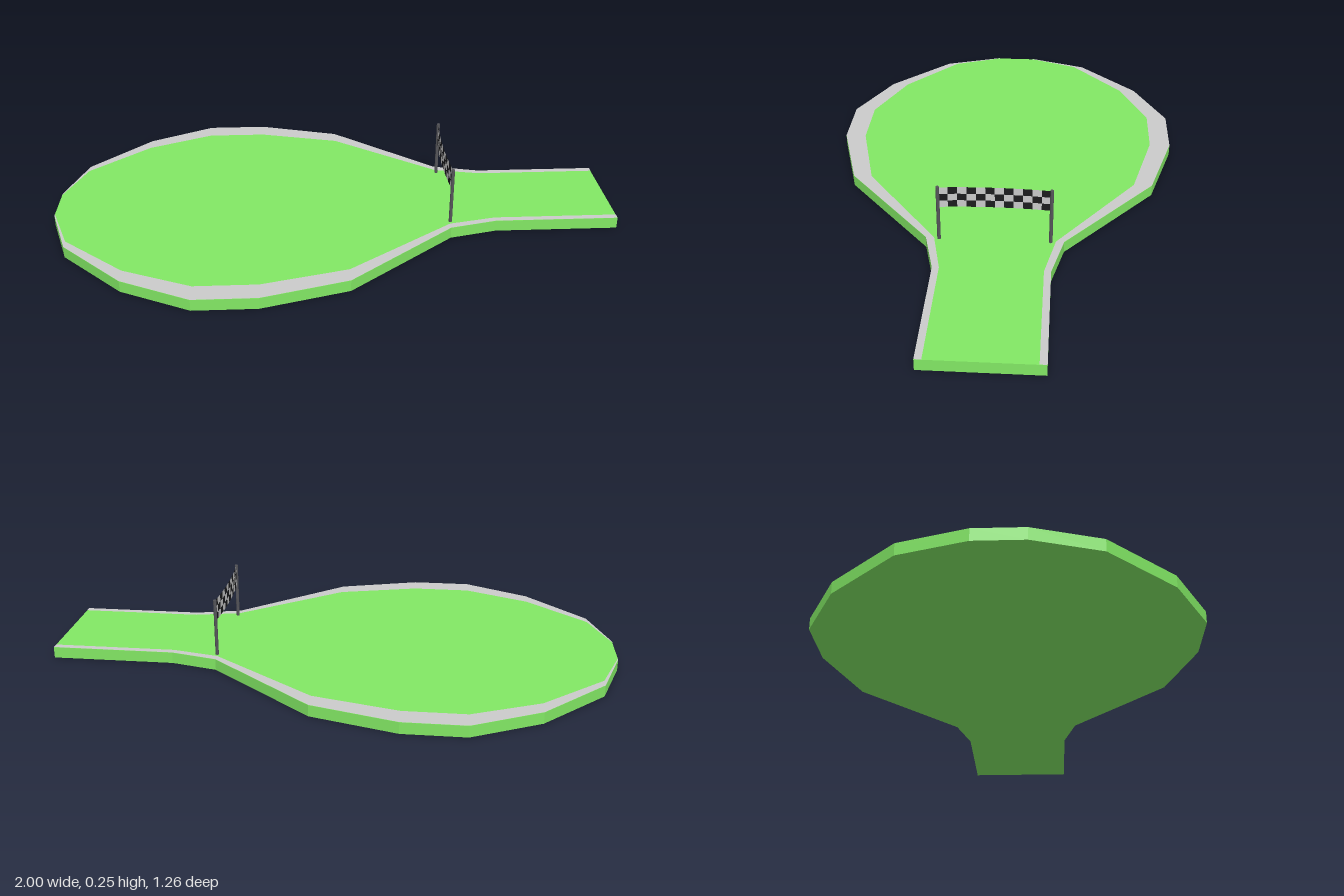
import * as THREE from 'three';
import { mergeGeometries } from 'three/addons/utils/BufferGeometryUtils.js';

const TOP = 0.04;

// Half outline of the ground, [x, half width], from the round end to the straight end
const OUTLINE = [
  [-1, 0.08], [-0.93, 0.295], [-0.715, 0.513], [-0.48, 0.63], [-0.265, 0.63],
  [0.03, 0.545], [0.4, 0.232], [0.565, 0.192], [1, 0.192],
];

const material = (color, side = THREE.FrontSide) =>
  new THREE.MeshStandardMaterial({ color, side, flatShading: true });

function addMesh(parent, name, geometry, mat) {
  const mesh = new THREE.Mesh(geometry, mat);
  mesh.name = name;
  parent.add(mesh);
  return mesh;
}

// Outline points of one side, optionally narrowed
const sidePoints = (sign, scale = 1) =>
  OUTLINE.map(([x, z]) => new THREE.Vector2(x, sign * z * scale));

export function createModel() {
  const model = new THREE.Group();
  model.name = 'finishArea';

  const green = material(0x82e864);
  const grey = material(0xcccccc);
  const dark = material(0x55555a);

  // Grass slab
  const slabShape = new THREE.Shape([...sidePoints(-1), ...sidePoints(1).reverse()]);
  const slab = new THREE.ExtrudeGeometry(slabShape, { depth: TOP, bevelEnabled: false });
  slab.rotateX(-Math.PI / 2);
  addMesh(model, 'grassSlab', slab, green);

  // Grey border along both long sides, narrowing to nothing at the ends of the oval
  for (const sign of [-1, 1]) {
    const strip = new THREE.ShapeGeometry(
      new THREE.Shape([...sidePoints(sign), ...sidePoints(sign, 0.88).reverse()]));
    strip.rotateX(-Math.PI / 2).translate(0, TOP + 0.001, 0);
    addMesh(model, sign > 0 ? 'backBorder' : 'frontBorder', strip, grey);
  }

  // Finish gate: two posts and a checkered banner
  const gate = new THREE.Group();
  gate.name = 'finishGate';
  model.add(gate);

  const postHeight = 0.205;
  for (const sign of [-1, 1]) {
    const post = addMesh(gate, sign > 0 ? 'frontPost' : 'backPost',
      new THREE.CylinderGeometry(0.006, 0.006, postHeight, 8), dark);
    post.position.set(0.403, TOP + postHeight / 2, sign * 0.187);
  }

  // Banner cells, sorted into light and dark squares
  const columns = 12, rows = 3, width = 0.37, height = 0.076;
  const cells = [[], []];
  for (let c = 0; c < columns; c++) {
    for (let r = 0; r < rows; r++) {
      const cell = new THREE.PlaneGeometry(width / columns, height / rows);
      cell.rotateY(Math.PI / 2);
      cell.translate(0, 0.166 + (r + 0.5) * height / rows, width / 2 - (c + 0.5) * width / columns);
      cells[(c + r) % 2].push(cell);
    }
  }
  // The cloth bellies gently between the posts
  cells.forEach((list, i) => {
    const cloth = mergeGeometries(list);
    const p = cloth.attributes.position;
    for (let v = 0; v < p.count; v++) {
      const t = p.getZ(v) / (width / 2);
      p.setX(v, 0.403 - 0.009 * (1 - t * t));
    }
    cloth.computeVertexNormals();
    addMesh(gate, i ? 'bannerDarkSquares' : 'bannerLightSquares', cloth,
      material(i ? 0x1c1c1e : 0xcccccc, THREE.DoubleSide));
  });

  return model;
}
